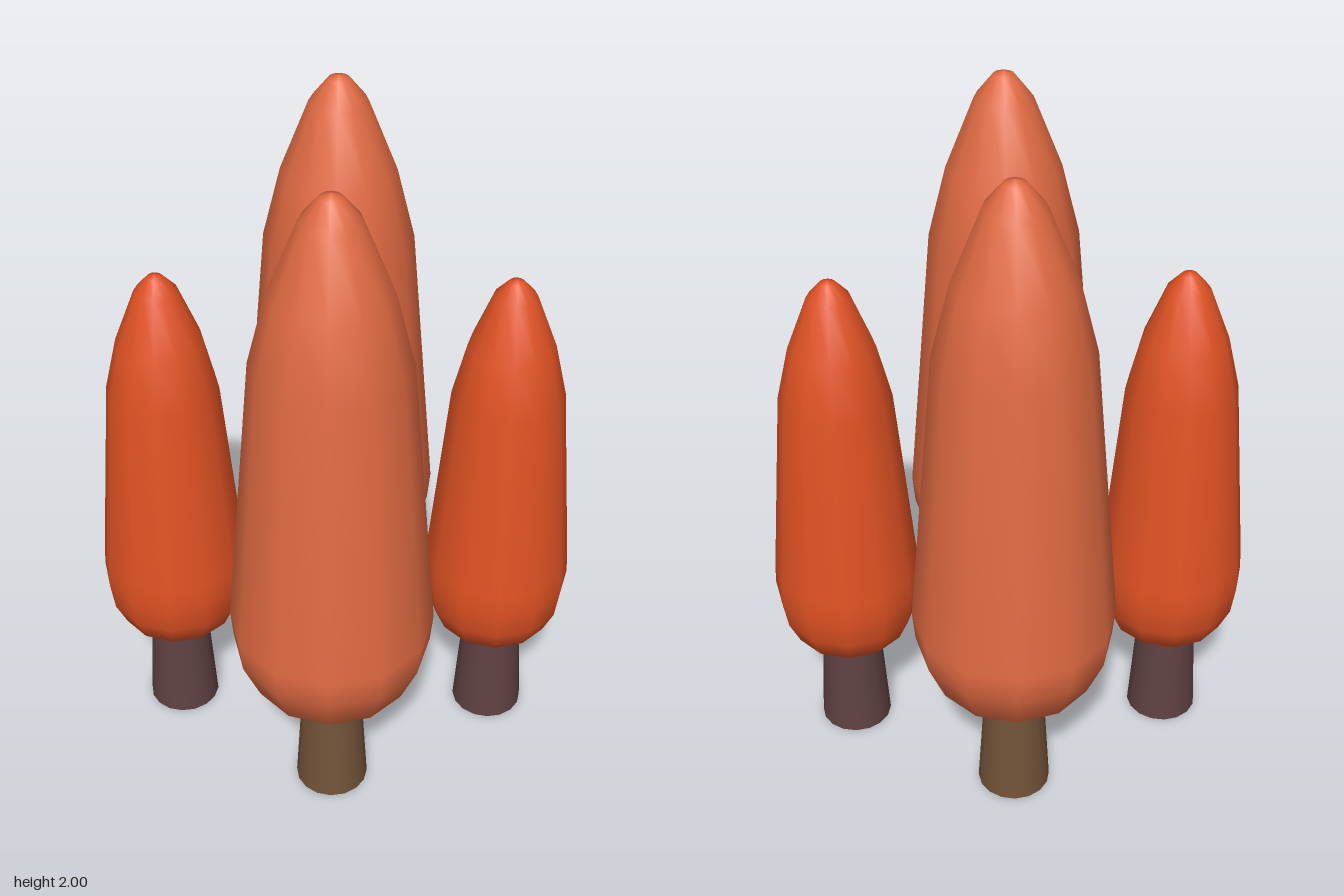
import * as THREE from 'three';

const paint = (name, color) => {
  const m = new THREE.MeshStandardMaterial({ color });
  m.name = name;
  return m;
};

// Crown outlines as [radius, height], bottom to tip
const TALL = [[0, 0.325], [0.13, 0.345], [0.232, 0.44], [0.282, 0.56], [0.29, 0.65],
  [0.215, 1.51], [0.163, 1.72], [0.082, 1.925], [0.03, 1.99], [0, 2.0]];
const SHORT = [[0, 0.303], [0.1, 0.315], [0.172, 0.365], [0.205, 0.44], [0.217, 0.53],
  [0.213, 0.6], [0.16, 1.19], [0.122, 1.35], [0.06, 1.51], [0.022, 1.553], [0, 1.56]];

// One tree: a tapered trunk under a smooth 12-sided crown
function makeTree(name, profile, leaf, bark, x, z) {
  const tree = new THREE.Group();
  tree.name = name;

  const crown = new THREE.Mesh(
    new THREE.LatheGeometry(profile.map(([r, y]) => new THREE.Vector2(r, y)), 12), leaf);
  crown.name = 'crown';

  const height = 0.37;
  const trunk = new THREE.Mesh(new THREE.CylinderGeometry(0.085, 0.107, height, 16), bark);
  trunk.name = 'trunk';
  trunk.position.y = height / 2;

  tree.add(crown, trunk);
  tree.position.set(x, 0, z);
  return tree;
}

export function createModel() {
  const group = new THREE.Group();
  group.name = 'autumnTrees';

  const paleLeaf = paint('pale orange leaf', 0xe06a42);
  const deepLeaf = paint('deep orange leaf', 0xe05224);
  const brownBark = paint('brown bark', 0x735339);
  const plumBark = paint('plum bark', 0x5f4142);

  // Tall pair front and back, short pair left and right
  group.add(
    makeTree('frontTallTree', TALL, paleLeaf, brownBark, 0, 0.325),
    makeTree('backTallTree', TALL, paleLeaf, brownBark, 0, -0.325),
    makeTree('leftShortTree', SHORT, deepLeaf, plumBark, 0.486, -0.016),
    makeTree('rightShortTree', SHORT, deepLeaf, plumBark, -0.486, -0.012),
  );
  return group;
}
